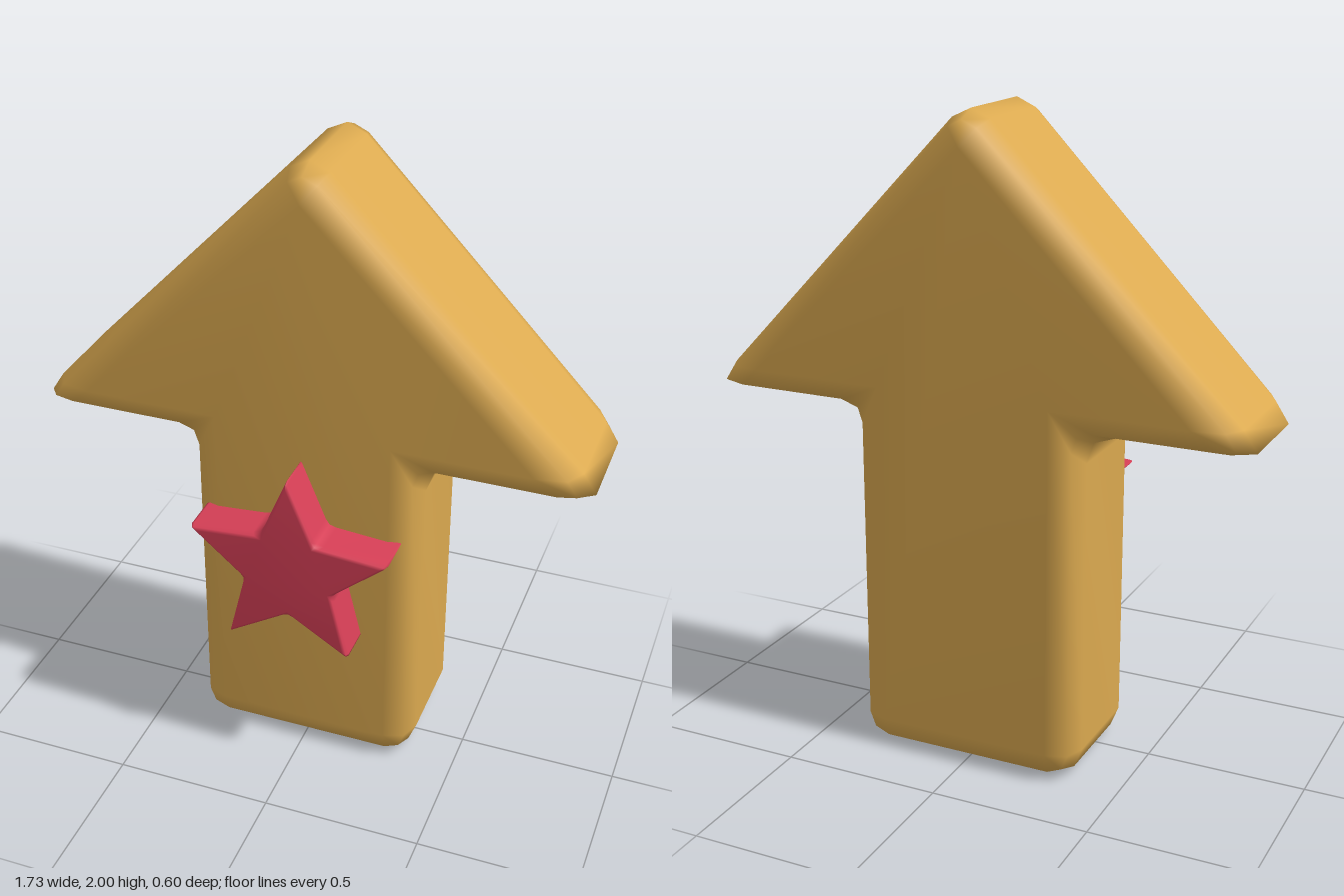
import * as THREE from 'three';
import { mergeVertices } from 'three/addons/utils/BufferGeometryUtils.js';

// Rounded slab: each corner has one point on the flat faces and a three-point arc on the rim.
// Corners run anticlockwise seen from +z.
function roundedSlab(corners, zBack, zFront, depth) {
  const ring = (t, z) => corners.flatMap(({ face, arc }) =>
    arc.map(([x, y]) => [face[0] + (x - face[0]) * t, face[1] + (y - face[1]) * t, z]));
  const rings = [
    ring(0, zBack), ring(0.74, zBack + depth * 0.28), ring(1, zBack + depth),
    ring(1, zFront - depth), ring(0.74, zFront - depth * 0.28), ring(0, zFront),
  ];
  const pos = [];
  const same = (a, b) => Math.hypot(a[0] - b[0], a[1] - b[1], a[2] - b[2]) < 1e-6;
  const tri = (a, b, c) => {
    if (!same(a, b) && !same(b, c) && !same(c, a)) pos.push(...a, ...b, ...c);
  };
  // rim and rounded edges
  for (let r = 0; r < rings.length - 1; r++) {
    const lo = rings[r], hi = rings[r + 1], n = lo.length;
    for (let i = 0; i < n; i++) {
      const j = (i + 1) % n;
      tri(lo[i], lo[j], hi[j]);
      tri(lo[i], hi[j], hi[i]);
    }
  }
  // flat front and back
  const flat = corners.map(({ face }) => new THREE.Vector2(...face));
  for (const [a, b, c] of THREE.ShapeUtils.triangulateShape(flat, [])) {
    const at = (i, z) => [flat[i].x, flat[i].y, z];
    tri(at(a, zFront), at(b, zFront), at(c, zFront));
    tri(at(c, zBack), at(b, zBack), at(a, zBack));
  }
  const geo = new THREE.BufferGeometry();
  geo.setAttribute('position', new THREE.Float32BufferAttribute(pos, 3));
  const merged = mergeVertices(geo, 1e-5);
  merged.computeVertexNormals();
  return merged;
}

function arrowCorners() {
  // left half from wing to foot, as seen from the front
  const half = [
    { face: [-0.70, 1.18], arc: [[-0.825, 1.175], [-0.866, 1.112], [-0.79, 1.098]] },
    { face: [-0.275, 1.18], arc: [[-0.45, 1.098], [-0.385, 1.075], [-0.363, 1.01]] },
    { face: [-0.275, 0.09], arc: [[-0.363, 0.09], [-0.338, 0.027], [-0.275, 0]] },
  ];
  const flip = ([x, y]) => [-x, y];
  const mirrored = half.map(({ face, arc }) => ({ face: flip(face), arc: arc.map(flip).reverse() })).reverse();
  const apex = { face: [0, 1.9], arc: [[0.06, 1.972], [0, 2], [-0.06, 1.972]] };
  return [apex, ...half, ...mirrored];
}

function starCorners(cy, outer, inner) {
  const pts = Array.from({ length: 10 }, (_, i) => {
    const a = Math.PI / 2 + i * Math.PI / 5, r = i % 2 ? inner : outer;
    return new THREE.Vector2(Math.cos(a) * r, cy + Math.sin(a) * r);
  });
  return pts.map((p, i) => {
    const cut = i % 2 ? 0.025 : 0.01;
    const toward = (q) => p.clone().add(q.clone().sub(p).setLength(cut));
    const a = toward(pts[(i + 9) % 10]), b = toward(pts[(i + 1) % 10]);
    const mid = a.clone().add(b).multiplyScalar(0.5).lerp(p, 0.6);
    return {
      face: [p.x * 0.91, cy + (p.y - cy) * 0.91],
      arc: [a, mid, b].map((v) => [v.x, v.y]),
    };
  });
}

export function createModel() {
  const gold = new THREE.MeshStandardMaterial({ color: 0xdcaa50 });
  gold.name = 'gold';
  const red = new THREE.MeshStandardMaterial({ color: 0xd63f56 });
  red.name = 'red';

  const group = new THREE.Group();
  group.name = 'arrowSign';

  const arrow = new THREE.Mesh(roundedSlab(arrowCorners(), -0.3, 0.17, 0.085), gold);
  arrow.name = 'arrow';

  const star = new THREE.Mesh(roundedSlab(starCorners(0.752, 0.335, 0.15), 0.14, 0.3, 0.022), red);
  star.name = 'star';

  group.add(arrow, star);
  return group;
}
